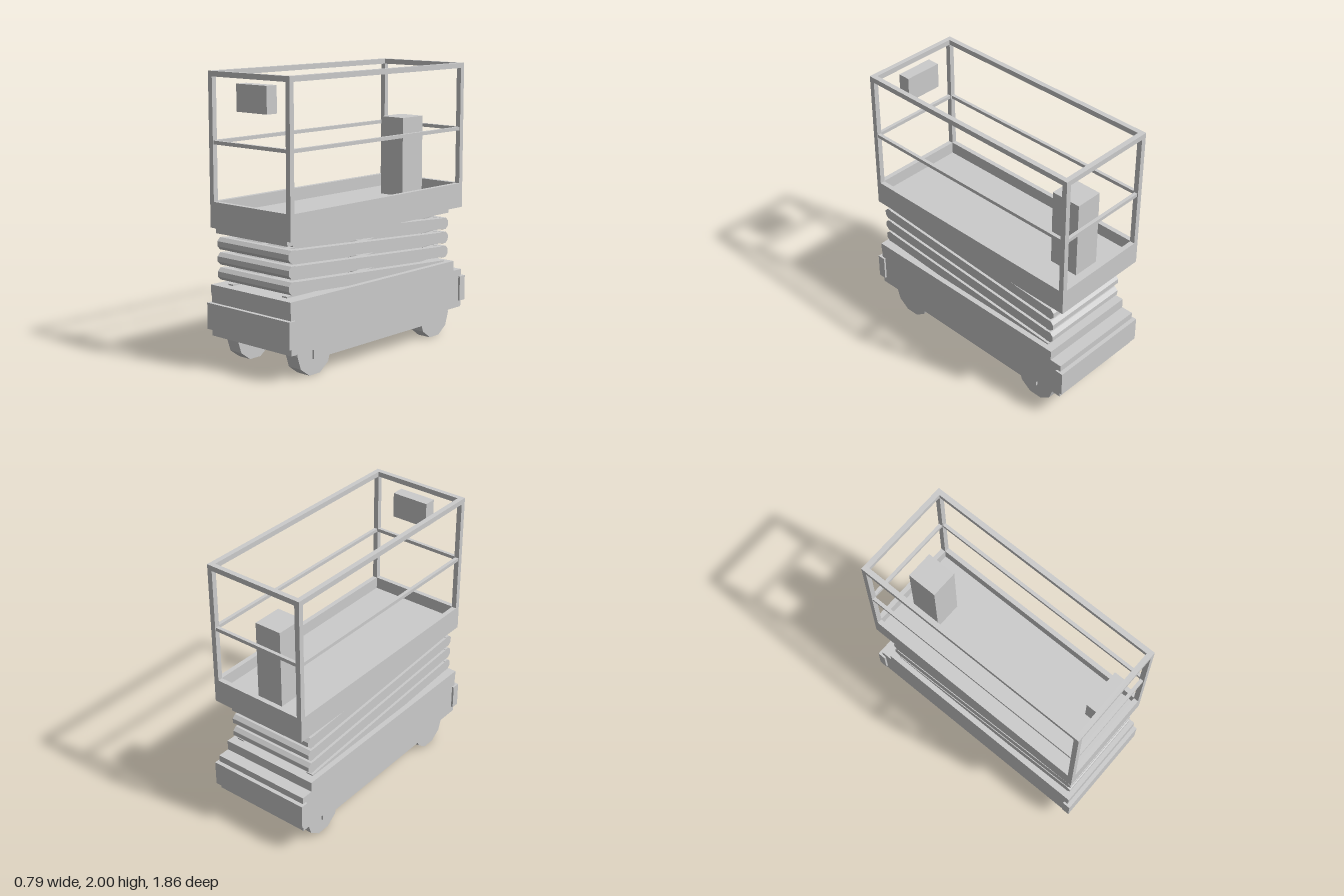
import * as THREE from 'three';

export function createModel() {
  const model = new THREE.Group();
  const mat = new THREE.MeshStandardMaterial({ color: 0xcccccc, flatShading: true });

  const add = (name, geometry, parent = model) => {
    const mesh = new THREE.Mesh(geometry, mat);
    mesh.name = name;
    parent.add(mesh);
    return mesh;
  };
  const group = (name) => {
    const g = new THREE.Group();
    g.name = name;
    model.add(g);
    return g;
  };
  // Box given by its limits on each axis
  const box = (name, [x0, x1], [y0, y1], [z0, z1], parent) => {
    const m = add(name, new THREE.BoxGeometry(x1 - x0, y1 - y0, z1 - z0), parent);
    m.position.set((x0 + x1) / 2, (y0 + y1) / 2, (z0 + z1) / 2);
    return m;
  };
  // Faceted cylinder lying along x
  const roller = (name, r, length, sides, x, y, z, parent) => {
    const g = new THREE.CylinderGeometry(r, r, length, sides);
    g.rotateY(Math.PI / sides);
    g.rotateZ(Math.PI / 2);
    const m = add(name, g, parent);
    m.position.set(x, y, z);
    return m;
  };

  // Base with stepped rear, underbody and bumpers
  const base = group('base');
  box('baseBody', [-0.38, 0.38], [0.185, 0.47], [-0.9, 0.9], base);
  box('baseTop', [-0.38, 0.38], [0.47, 0.545], [-0.81, 0.905], base);
  box('underbody', [-0.355, 0.355], [0.11, 0.185], [-0.66, 0.66], base);
  for (const s of [-1, 1]) {
    const z = s * 0.9;
    box(s > 0 ? 'frontBumper' : 'rearBumper', [-0.395, 0.395], [0.235, 0.42], [z - 0.03, z + 0.03], base);
  }

  // Ten-sided wheels, flat on the ground
  const wheels = group('wheels');
  const wheelRadius = 0.163;
  const wheelY = wheelRadius * Math.cos(Math.PI / 10);
  for (const sx of [-1, 1]) {
    for (const sz of [-1, 1]) {
      const w = roller('wheel', wheelRadius, 0.11, 10, sx * 0.285, wheelY, sz * 0.64, wheels);
      // A flat facet faces straight down
      w.geometry.rotateX(facetTurn(w.geometry));
    }
  }

  // Folded scissor stack: four levels of crossed arms
  const scissor = group('scissorLift');
  const zFront = 0.835, zBack = -0.745, y0 = 0.515, step = 0.105;
  const span = zFront - zBack, zMid = (zFront + zBack) / 2;
  for (let level = 0; level < 4; level++) {
    const yMid = y0 + step * (level + 0.5);
    for (const s of [-1, 1]) {
      for (const outer of [true, false]) {
        const arm = add(outer ? 'outerArm' : 'innerArm',
          new THREE.BoxGeometry(outer ? 0.055 : 0.045, 0.08, Math.hypot(span, step)), scissor);
        arm.position.set(s * (outer ? 0.3125 : 0.2575), yMid, zMid);
        // Outer arms rise to the front, inner arms to the rear
        arm.rotation.x = (outer ? -1 : 1) * Math.atan2(step, span);
      }
    }
    roller('centrePivot', 0.03, 0.66, 8, 0, yMid, zMid, scissor);
  }
  // Cross tubes joining the arm ends
  for (let joint = 1; joint < 4; joint++) {
    for (const z of [zFront, zBack]) {
      roller('crossTube', 0.046, 0.68, 8, 0, y0 + step * joint, z, scissor);
    }
  }

  // Platform tray
  const tray = group('platform');
  box('liftPlate', [-0.34, 0.34], [0.905, 0.94], [-0.79, 0.89], tray);
  box('floor', [-0.37, 0.37], [0.94, 1.03], [-0.89, 0.89], tray);
  for (const s of [-1, 1]) {
    const x = s * 0.3625, z = s * 0.8825, t = 0.0175;
    box('sideWall', [x - t, x + t], [0.94, 1.12], [-0.9, 0.9], tray);
    box('endWall', [-0.345, 0.345], [0.94, 1.12], [z - t, z + t], tray);
  }

  // Guard rail: corner posts, top rail and thinner middle rail
  const guard = group('guardRail');
  for (const s of [-1, 1]) {
    const x = s * 0.3615, z = s * 0.8815, t = 0.0185;
    for (const sz of [-1, 1]) {
      const pz = sz * 0.8815;
      box('post', [x - t, x + t], [1.12, 1.965], [pz - t, pz + t], guard);
    }
    box('topSideRail', [x - t, x + t], [1.963, 2], [-0.9, 0.9], guard);
    box('topEndRail', [-0.343, 0.343], [1.963, 2], [z - t, z + t], guard);
    const h = 0.0125;
    box('middleSideRail', [x - h, x + h], [1.51, 1.535], [-0.87, 0.87], guard);
    box('middleEndRail', [-0.345, 0.345], [1.51, 1.535], [z - h, z + h], guard);
  }

  // Equipment on the platform
  box('rearCabinet', [-0.103, 0.103], [1.03, 1.605], [-0.77, -0.545]);
  box('controlBox', [-0.142, 0.142], [1.74, 1.925], [0.777, 0.868]);

  return model;
}

// Angle that brings the lowest corner of an x-axis prism half a facet off vertical
function facetTurn(geometry) {
  const p = geometry.attributes.position;
  const sides = geometry.parameters.radialSegments;
  const facet = (2 * Math.PI) / sides;
  const corner = Math.atan2(p.getZ(0), -p.getY(0));
  const offset = corner - facet / 2;
  return offset - Math.round(offset / facet) * facet;
}
